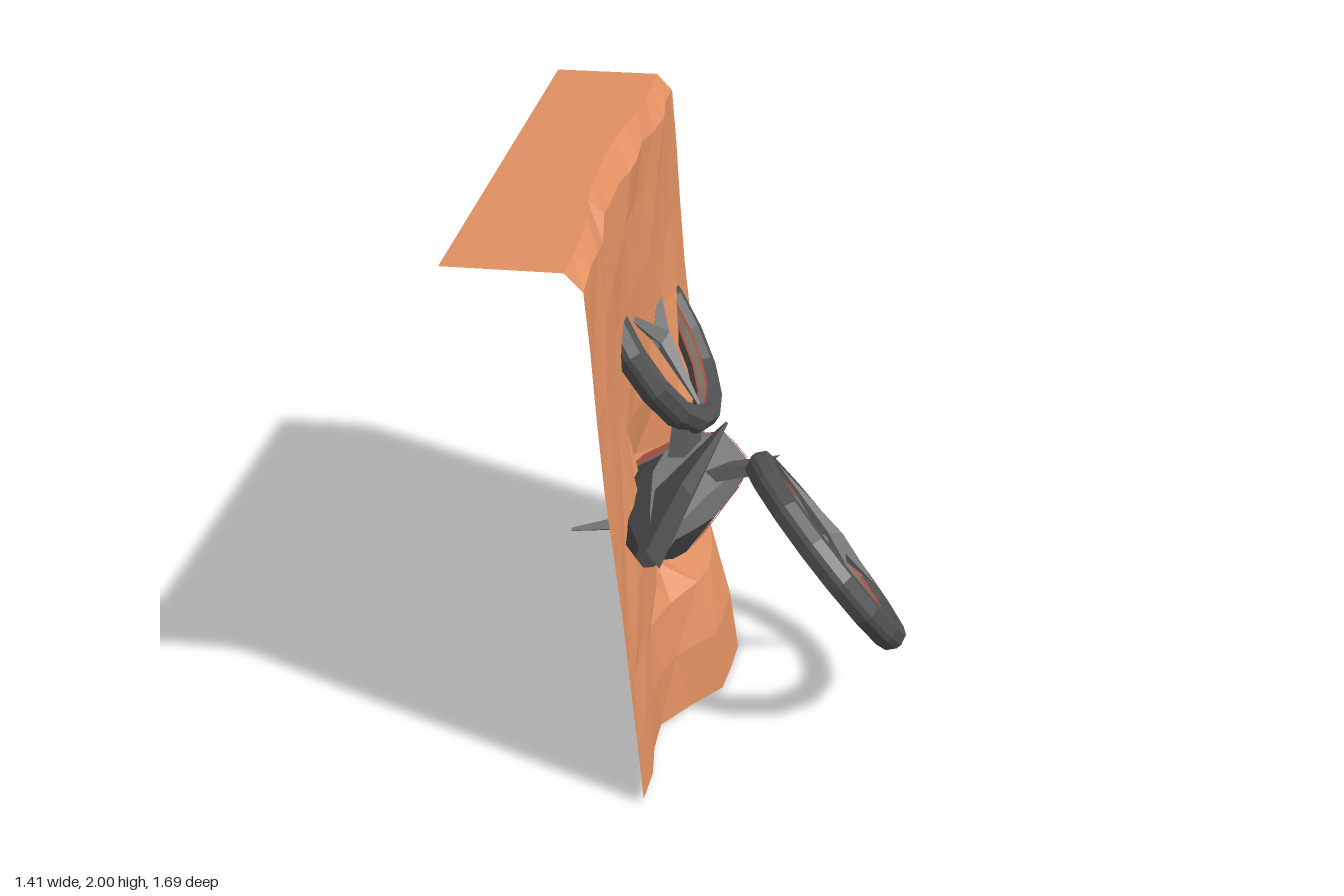
import * as THREE from 'three';
import { ConvexGeometry } from 'three/addons/geometries/ConvexGeometry.js';

const V = (x, y, z) => new THREE.Vector3(x, y, z);
const mat = (name, color, side = THREE.FrontSide) => {
  const m = new THREE.MeshStandardMaterial({ color, side });
  m.name = name;
  return m;
};
const rock = mat('orange rock', 0xdf8f61, THREE.DoubleSide);
const hull = mat('dark grey hull', 0x484848);
const trim = mat('mid grey trim', 0x5e5e5e);
const panel = mat('light grey panel', 0x7c7c7c);
const ringGrey = mat('ring grey', 0x525252);
const liningGrey = mat('warm grey lining', 0x8a8274);
const glass = mat('red glass', 0xc85a4c, THREE.DoubleSide);

// Craft axes: right, nose direction, up
const R = V(0.67, -0.64, 0.37).normalize();
const F = V(0.07, -0.36, -0.93);
F.addScaledVector(R, -F.dot(R)).normalize();
const U = R.clone().cross(F).normalize();

function flat(g) {
  const f = g.index ? g.toNonIndexed() : g;
  f.computeVertexNormals();
  return f;
}

function add(parent, name, geometry, material) {
  const m = new THREE.Mesh(flat(geometry), material);
  m.name = name;
  parent.add(m);
  return m;
}

// Flat-shaded surface from a list of four-cornered faces
function quads(list) {
  const p = [];
  for (const [a, b, c, d] of list)
    for (const v of [a, b, c, a, c, d]) p.push(v.x, v.y, v.z);
  const g = new THREE.BufferGeometry();
  g.setAttribute('position', new THREE.Float32BufferAttribute(p, 3));
  return g;
}

// Smaller copy of a face, raised slightly off it
function inset(q, k) {
  const c = V(0, 0, 0);
  q.forEach((v) => c.addScaledVector(v, 0.25));
  const n = q[2].clone().sub(q[0]).cross(q[3].clone().sub(q[1])).normalize();
  return q.map((v) => c.clone().lerp(v, k).addScaledVector(n, 0.005));
}

// Straight tapered bar between two points
function bar(parent, name, a, b, r0, r1, material) {
  const d = b.clone().sub(a);
  const m = add(parent, name, new THREE.CylinderGeometry(r1, r0, d.length(), 4), material);
  m.position.copy(a).addScaledVector(d, 0.5);
  m.quaternion.setFromUnitVectors(V(0, 1, 0), d.normalize());
}

function buildCliff(parent) {
  let seed = 7;
  const rnd = () => ((seed = (seed * 16807) % 2147483647) / 2147483647) - 0.5;
  // height, depth at the sides, extra depth in the middle, its centre and width,
  // extra depth beside the nose
  const rows = [
    [0, -0.14, 0.21, 0.01, 0.32, 0.03], [0.25, -0.155, 0.19, 0.01, 0.31, 0.05],
    [0.46, -0.17, 0.15, 0.01, 0.29, 0.08], [0.54, -0.176, -0.11, -0.06, 0.22, 0.09],
    [0.75, -0.19, -0.16, -0.09, 0.22, 0.07], [1, -0.212, -0.09, -0.02, 0.32, 0.02],
    [1.25, -0.235, -0.06, 0, 0.45, 0], [1.5, -0.25, -0.05, 0, 0.47, 0],
    [1.75, -0.262, -0.04, 0, 0.47, 0], [1.94, -0.275, -0.03, 0, 0.45, 0],
    [2, -0.33, -0.045, 0, 0.4, 0],
  ];
  const n = 13;
  const grid = rows.map(([y, x, mid, zc, width, nose], j) => Array.from({ length: n + 1 }, (_, i) => {
    const z = 0.845 - (1.69 * i) / n;
    const m = Math.exp(-Math.pow((z - zc) / width, 4));
    const b = nose * Math.exp(-Math.pow((z + 0.46) / 0.16, 2));
    const inner = i > 0 && i < n;
    const rough = !inner ? 0 : j === 10 ? 0.01 : 0.025;
    const zj = z + (inner && j > 0 && j < 10 ? rnd() * 0.05 : 0);
    const yj = j === 0 ? 0.02 * (1 - m) : y + (inner && j === 9 ? rnd() * 0.05 : 0);
    return V(x + mid * m + b + rnd() * rough, yj, zj);
  }));
  const faces = [], top = [];
  for (let i = 0; i < n; i++) {
    for (let j = 0; j + 1 < rows.length; j++)
      faces.push([grid[j][i], grid[j][i + 1], grid[j + 1][i + 1], grid[j + 1][i]]);
    const a = grid[10][i], b = grid[10][i + 1];
    top.push([a, b, V(-0.7, 2, b.z), V(-0.7, 2, a.z)]);
  }
  add(parent, 'cliffFace', quads(faces), rock);
  add(parent, 'cliffTop', quads(top), rock);
}

function buildBody(parent) {
  // eight-sided outline, narrower at the top
  const outline = [[0.8, 0.45], [0.38, 1], [-0.38, 1], [-0.8, 0.45],
    [-1, -0.4], [-0.5, -1], [0.5, -1], [1, -0.4]];
  // centre, half width, half height, from tail to nose
  const sections = [
    [V(-0.11, 0.985, 0.76), 0.04, 0.05],
    [V(-0.135, 0.945, 0.58), 0.085, 0.1],
    [V(-0.16, 0.835, 0.3), 0.155, 0.165],
    [V(-0.15, 0.76, 0.1), 0.18, 0.19],
    [V(-0.12, 0.71, -0.1), 0.18, 0.185],
    [V(-0.09, 0.65, -0.27), 0.16, 0.165],
    [V(-0.065, 0.5, -0.52), 0.11, 0.125],
  ];
  const loops = sections.map(([c, a, b]) => outline.map(([u, v]) =>
    c.clone().addScaledVector(R, a * u).addScaledVector(U, b * v)));
  const dark = [], light = [], red = [];
  for (let i = 0; i < 6; i++)
    for (let k = 0; k < 8; k++) {
      const k1 = (k + 1) % 8;
      const q = [loops[i + 1][k], loops[i + 1][k1], loops[i][k1], loops[i][k]];
      const under = k >= 4 && k <= 6;
      const side = k === 7 || k === 3;
      (k < 3 || (i >= 3 && side) ? light : dark).push(q);
      if (i === 5 && !under) red.push(inset(q, 0.9));
      if (i === 3 && side) red.push(inset(q, 0.85));
    }
  // end caps
  for (const [i, s] of [[0, 1], [6, -1]]) {
    const l = loops[i];
    for (const [a, b, c, d] of [[0, 1, 2, 3], [0, 3, 4, 7], [4, 5, 6, 7]]) {
      const q = [l[a], l[b], l[c], l[d]];
      if (s < 0) q.reverse();
      (i === 0 || a === 4 ? dark : light).push(q);
      if (i === 6 && a === 0) red.push(inset(q, 0.94));
    }
  }
  add(parent, 'hull', quads(dark), hull);
  add(parent, 'upperPanels', quads(light), panel);
  add(parent, 'windows', quads(red), glass);

  // upright tail fin, thinning toward its tip
  const fin = [];
  for (const [x, y, z, t] of [
    [-0.1, 0.98, 0.79, 0.035], [0, 1.21, 0.72, 0.025], [0.115, 1.4, 0.61, 0.004],
    [0.085, 1.34, 0.57, 0.01], [-0.1, 1.04, 0.54, 0.05],
  ])
    for (const s of [-1, 1]) fin.push(V(x, y, z).addScaledVector(R, s * t));
  add(parent, 'tailFin', new ConvexGeometry(fin), trim);

  // landing legs
  bar(parent, 'rearLeg', V(-0.26, 0.75, 0.24), V(-0.48, 0.71, 0.26), 0.035, 0.008, panel);
  bar(parent, 'rearLeg', V(-0.17, 0.7, 0.25), V(-0.27, 0.53, 0.31), 0.035, 0.01, panel);
  bar(parent, 'noseLeg', V(-0.1, 0.55, -0.28), V(-0.23, 0.36, -0.28), 0.035, 0.035, panel);
}

// Ducted rotor: ring, thin inner bands and three pointed blades
function buildRotor(parent, name, centre, hub, normal, bladeDir) {
  const g = new THREE.Group();
  g.name = name;
  const y = normal.clone().normalize();
  const x = bladeDir.clone().addScaledVector(y, -bladeDir.dot(y)).normalize();
  g.quaternion.setFromRotationMatrix(new THREE.Matrix4().makeBasis(x, y, x.clone().cross(y)));
  g.position.copy(centre);
  const lathe = (part, points, material) => add(g, part, new THREE.LatheGeometry(
    points.map(([r, h]) => new THREE.Vector2(r, h)), 16), material);
  lathe('ring', [[0.345, -0.022], [0.36, -0.05], [0.41, -0.045], [0.428, -0.01],
    [0.428, 0.01], [0.41, 0.045], [0.36, 0.05], [0.345, 0.022]], ringGrey);
  lathe('ringLining', [[0.345, 0.013], [0.345, -0.013]], liningGrey);
  for (const s of [-1, 1])
    lathe('ringStripe', [[0.345, s * 0.0175 + 0.0045], [0.345, s * 0.0175 - 0.0045]], glass);

  const rotor = new THREE.Group();
  rotor.name = 'rotor';
  rotor.position.copy(hub).sub(centre).applyQuaternion(g.quaternion.clone().invert());
  add(rotor, 'hub', new THREE.CylinderGeometry(0.02, 0.04, 0.05, 6), panel);
  for (let i = 0; i < 3; i++) {
    const blade = new THREE.ConeGeometry(0.045, 0.34, 4);
    blade.translate(0, 0.17, 0).rotateZ(-Math.PI / 2).scale(1, 0.8, 1);
    blade.rotateY((i * Math.PI * 2) / 3);
    add(rotor, 'blade', blade, panel);
  }
  g.add(rotor);
  parent.add(g);
}

// Flat wing strut running from the hull to a ring
function buildArm(parent, a, b, w0, w1) {
  const pts = [];
  for (const [p, w] of [[a, w0], [b, w1]])
    for (const s of [-1, 1])
      for (const t of [-1, 1])
        pts.push(p.clone().addScaledVector(F, s * w).addScaledVector(U, t * 0.045));
  add(parent, 'rotorArm', new ConvexGeometry(pts), trim);
}

export function createModel() {
  const model = new THREE.Group();
  model.name = 'craftInCliff';
  buildCliff(model);

  const craft = new THREE.Group();
  craft.name = 'craft';
  buildBody(craft);
  buildArm(craft, V(-0.06, 0.82, 0.02), V(0.18, 0.88, 0.02), 0.13, 0.085);
  buildArm(craft, V(-0.12, 0.85, 0), V(-0.11, 1.03, -0.06), 0.12, 0.085);
  buildRotor(craft, 'rightRotor', V(0.41, 0.625, 0.145), V(0.44, 0.66, 0.13),
    V(0.75, 0.57, -0.34), V(0.06, 0.1, 0.3));
  buildRotor(craft, 'leftRotor', V(-0.265, 1.28, -0.235), V(-0.23, 1.24, -0.23),
    V(0.85, 0.53, -0.08), V(-0.05, 0.05, -0.31));
  model.add(craft);
  return model;
}
